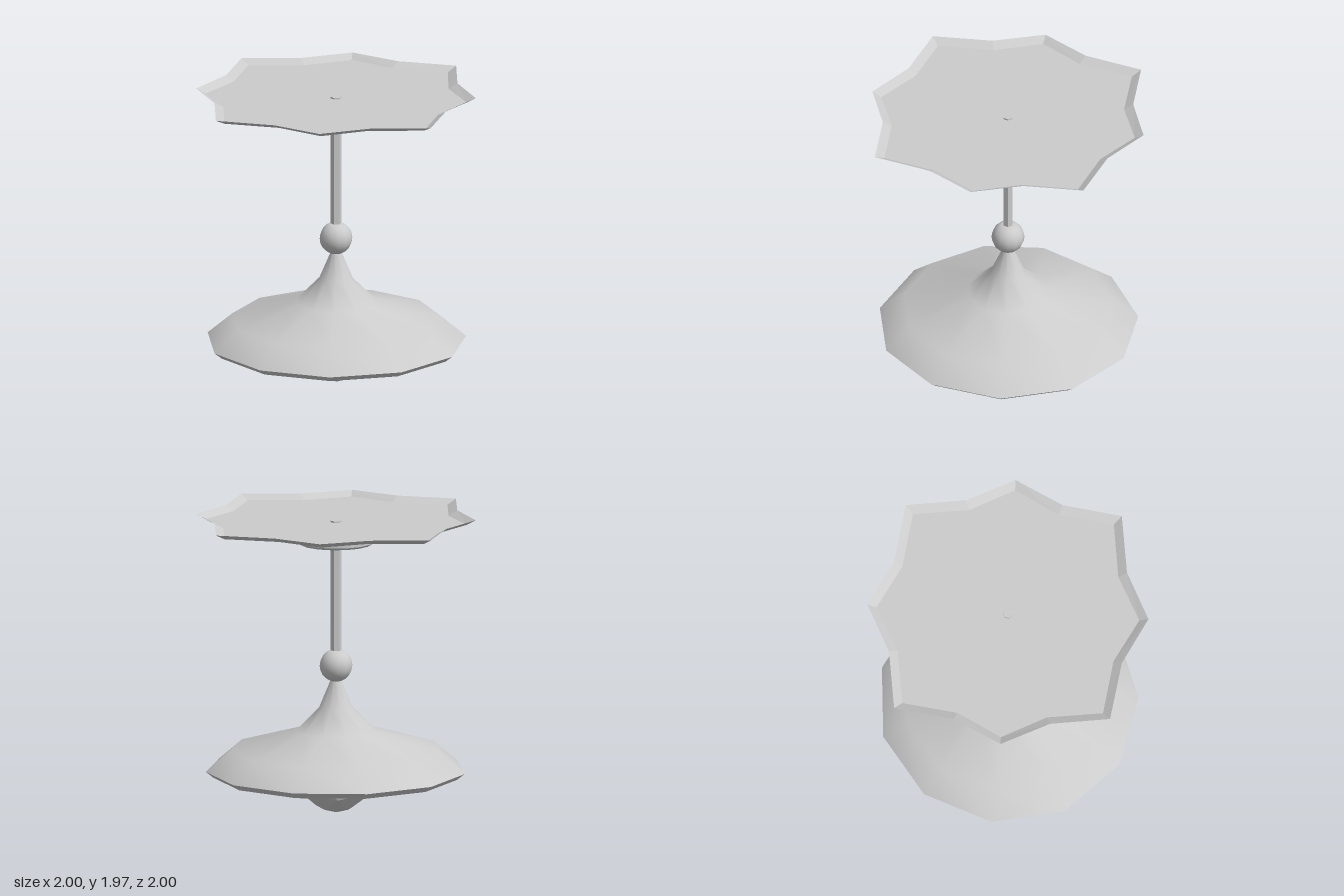
import * as THREE from 'three';

const smooth = new THREE.MeshStandardMaterial({ color: 0xcccccc });
const smoothDouble = new THREE.MeshStandardMaterial({ color: 0xcccccc, side: THREE.DoubleSide });
const flat = new THREE.MeshStandardMaterial({ color: 0xcccccc, flatShading: true });
const flatDouble = new THREE.MeshStandardMaterial({ color: 0xcccccc, flatShading: true, side: THREE.DoubleSide });

function add(parent, name, geometry, material, y = 0) {
  const mesh = new THREE.Mesh(geometry, material);
  mesh.name = name;
  mesh.position.y = y;
  parent.add(mesh);
  return mesh;
}

// Profile points are [radius, height]; upward order faces outward
function lathe(points, sides) {
  return new THREE.LatheGeometry(points.map(([r, y]) => new THREE.Vector2(r, y)), sides);
}

// Shallow eight-pointed dish: flat floor with a flared star rim
function starDish() {
  const ring = (cardinal, diagonal, notch, y) => Array.from({ length: 16 }, (_, i) => {
    const r = i % 2 ? notch : i % 4 ? diagonal : cardinal;
    const a = (i * Math.PI) / 8;
    return [r * Math.sin(a), y, r * Math.cos(a)];
  });
  const floor = ring(0.93, 0.86, 0.765, 1.935);
  const rim = ring(1, 0.92, 0.825, 1.968);
  const center = [0, 1.935, 0];
  const positions = [];
  for (let i = 0; i < 16; i++) {
    const j = (i + 1) % 16;
    positions.push(...center, ...floor[i], ...floor[j]);
    positions.push(...floor[i], ...rim[i], ...rim[j], ...floor[i], ...rim[j], ...floor[j]);
  }
  const geometry = new THREE.BufferGeometry();
  geometry.setAttribute('position', new THREE.Float32BufferAttribute(positions, 3));
  geometry.computeVertexNormals();
  return geometry;
}

export function createModel() {
  const model = new THREE.Group();
  model.name = 'pendantLamp';

  add(model, 'ceilingPlate', starDish(), flatDouble);

  // Canopy with a small chamfer underneath
  const canopy = new THREE.Group();
  canopy.name = 'canopy';
  add(canopy, 'canopyBottom', lathe([[0, 1.793], [0.238, 1.793]], 16), smooth);
  add(canopy, 'canopyChamfer', lathe([[0.238, 1.793], [0.253, 1.807]], 16), smooth);
  add(canopy, 'canopySide', lathe([[0.253, 1.807], [0.253, 1.934]], 16), smooth);
  model.add(canopy);

  // Hexagonal rod with a corner on each side
  const rod = add(model, 'rod', new THREE.CylinderGeometry(0.035, 0.035, 1.005, 6), flat, 1.4425);
  rod.rotation.y = Math.PI / 6;

  // Ball joint, cut flat at top and bottom
  const ballProfile = [[0, -0.1]];
  for (let i = 0; i <= 8; i++) {
    const a = THREE.MathUtils.lerp(-1.19, 1.19, i / 8);
    ballProfile.push([0.108 * Math.cos(a), 0.108 * Math.sin(a)]);
  }
  ballProfile.push([0, 0.1]);
  add(model, 'ballJoint', lathe(ballProfile, 12), smooth, 0.98);

  // Eleven-sided shade: outer skin, lip and inner skin
  const shade = new THREE.Group();
  shade.name = 'shade';
  const sides = 11;
  add(shade, 'shadeOuter', lathe([[0.855, 0.285], [0.69, 0.425], [0.265, 0.548], [0.11, 0.705], [0.03, 0.895]], sides), smoothDouble);
  add(shade, 'shadeLip', lathe([[0.805, 0.245], [0.855, 0.285]], sides), smoothDouble);
  add(shade, 'shadeInner', lathe([[0, 0.8], [0.07, 0.68], [0.24, 0.505], [0.66, 0.382], [0.805, 0.245]], sides), smoothDouble);
  shade.rotation.y = Math.PI;
  model.add(shade);

  // Faceted bulb, turned so that a corner points straight down
  const bulb = new THREE.IcosahedronGeometry(0.253, 1);
  bulb.rotateX(-Math.atan((1 + Math.sqrt(5)) / 2));
  bulb.rotateY(Math.PI / 2);
  add(model, 'bulb', bulb, flat, 0.253);

  return model;
}
